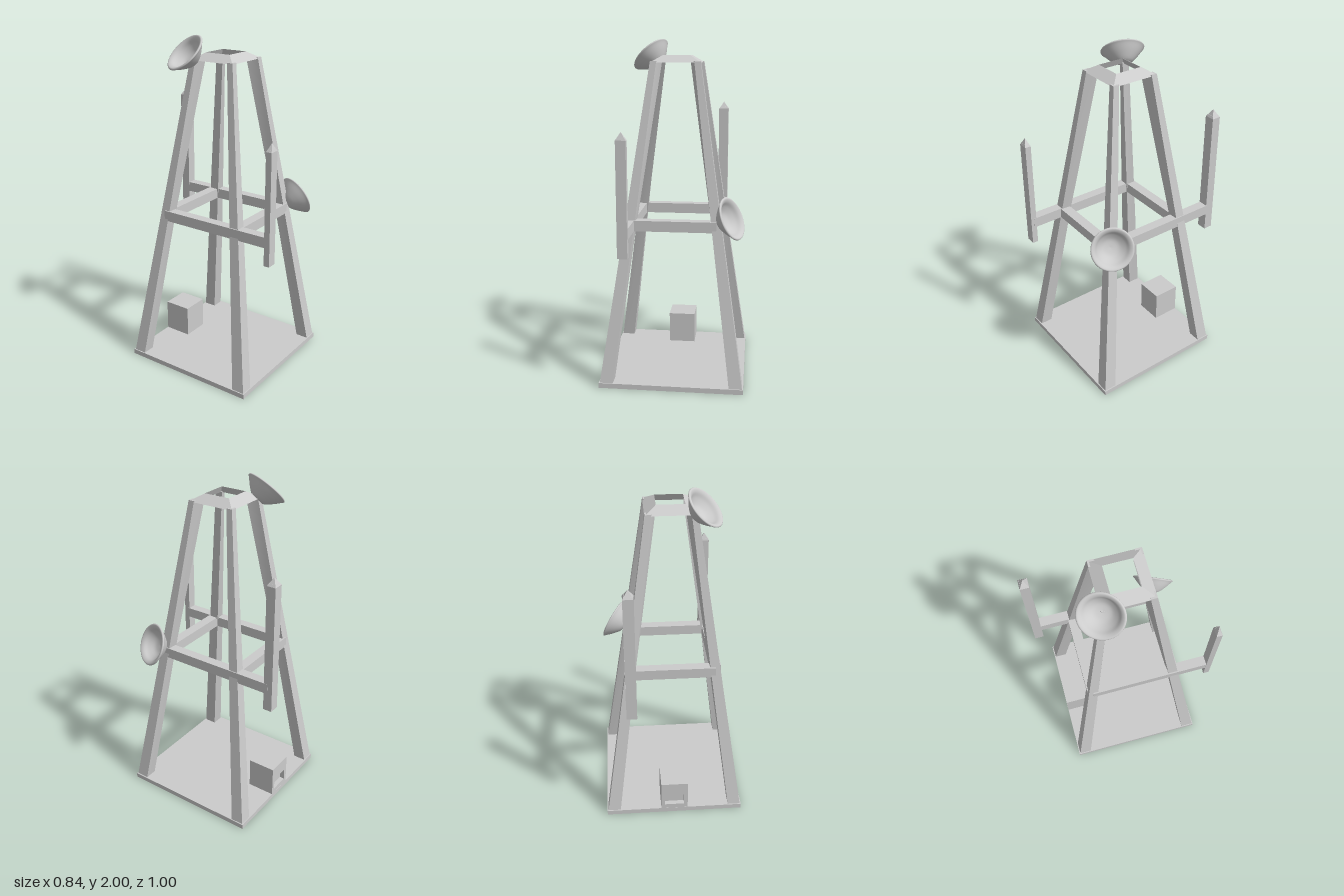
import * as THREE from 'three';

const CZ = 0.01; // the tower's axis sits slightly forward
const mat = new THREE.MeshStandardMaterial({ color: 0xcccccc });

function add(parent, name, geo, x = 0, y = 0, z = 0) {
  const mesh = new THREE.Mesh(geo, mat);
  mesh.name = name;
  mesh.position.set(x, y, z);
  parent.add(mesh);
  return mesh;
}

// Box given by its min and max corners
function block(parent, name, [x0, y0, z0], [x1, y1, z1]) {
  return add(parent, name, new THREE.BoxGeometry(x1 - x0, y1 - y0, z1 - z0),
    (x0 + x1) / 2, (y0 + y1) / 2, (z0 + z1) / 2);
}

function flat(geo) {
  const g = geo.toNonIndexed();
  g.computeVertexNormals();
  return g;
}

// Leaning, tapered leg whose inner corner grows towards the top
function legGeometry() {
  // height, outer corner, side width, inner corner depth
  const rows = [
    [0, 0.42, 0.077, 0.077],
    [0.95, 0.28, 0.058, 0.062],
    [1.875, 0.144, 0.036, 0.062],
  ];
  const geo = new THREE.BoxGeometry(1, 2, 1, 1, 2, 1);
  const p = geo.attributes.position;
  for (let i = 0; i < p.count; i++) {
    const [y, outer, w, d] = rows[Math.round(p.getY(i)) + 1];
    const inX = p.getX(i) < 0, inZ = p.getZ(i) < 0;
    const s = inX && inZ ? d : w;
    p.setXYZ(i, outer - (inX ? s : 0), y, outer - (inZ ? s : 0));
  }
  geo.computeVertexNormals();
  return geo;
}

// Thick-rimmed bowl: rim centre at the origin, opening along +y
function dishGeometry() {
  const spline = new THREE.SplineCurve([
    [0, -0.08], [0.04, -0.076], [0.083, -0.042], [0.115, -0.008], [0.126, 0.003],
    [0.118, 0.01], [0.1, 0], [0.08, -0.024], [0.045, -0.049], [0, -0.056],
  ].map(([x, y]) => new THREE.Vector2(x, y)));
  const pts = spline.getPoints(36);
  pts.forEach((p) => { p.x = Math.max(p.x, 0); });
  return new THREE.LatheGeometry(pts, 40);
}

// Square mast with chamfered shoulders and a pointed tip
function mast(parent, name, x0, x1, z0, z1, y0, tip) {
  const g = new THREE.Group();
  g.name = name;
  const w = x1 - x0, d = z1 - z0, top = tip - 0.045;
  block(g, 'mastShaft', [x0, y0, z0], [x1, top, z1]);
  const r = Math.SQRT1_2;
  const shoulder = add(g, 'mastShoulder',
    flat(new THREE.CylinderGeometry(0.75 * r, r, 0.012, 4).rotateY(Math.PI / 4)),
    (x0 + x1) / 2, top + 0.006, (z0 + z1) / 2);
  shoulder.scale.set(w, 1, d);
  const point = add(g, 'mastTip',
    flat(new THREE.ConeGeometry(0.72 * r, 0.033, 4).rotateY(Math.PI / 4)),
    (x0 + x1) / 2, tip - 0.0165, (z0 + z1) / 2);
  point.scale.set(w, 1, d);
  parent.add(g);
}

export function createModel() {
  const model = new THREE.Group();
  model.name = 'antennaTower';

  // Ground slab
  block(model, 'base', [-0.422, 0, -0.412], [0.422, 0.03, 0.432]);

  // Four legs
  const leg = legGeometry();
  for (let i = 0; i < 4; i++) {
    add(model, 'leg', leg, 0, 0, CZ).rotation.y = (i * Math.PI) / 2;
  }

  // Sloped square frame on top, open in the middle
  const profile = [[0.145, 1.868], [0.08, 1.908], [0.1, 1.868], [0.145, 1.868]]
    .map(([r, y]) => new THREE.Vector2(r * Math.SQRT2, y));
  add(model, 'topFrame', flat(new THREE.LatheGeometry(profile, 4, Math.PI / 4)), 0, 0, CZ);

  // Middle ring of beams; the side beams reach out to carry the masts
  const y0 = 0.918, y1 = 0.98;
  block(model, 'frontBeam', [-0.25, y0, 0.232], [0.25, y1, 0.293]);
  block(model, 'backBeam', [-0.25, y0, -0.273], [0.25, y1, -0.212]);
  block(model, 'leftBeam', [0.222, y0, -0.47], [0.281, y1, 0.26]);
  block(model, 'rightBeam', [-0.283, y0, -0.24], [-0.224, y1, 0.48]);

  // Antenna masts
  mast(model, 'leftMast', 0.22, 0.28, -0.5, -0.446, 0.81, 1.612);
  mast(model, 'rightMast', -0.284, -0.226, 0.465, 0.5, 0.81, 1.51);

  // Dishes: rim centre and facing direction
  const dish = dishGeometry();
  const up = new THREE.Vector3(0, 1, 0);
  for (const [name, pos, dir] of [
    ['upperDish', [-0.178, 1.91, -0.142], [-0.64, 0.7, -0.3]],
    ['lowerDish', [0.335, 1.008, 0.306], [0.84, 0.4, 0.36]],
  ]) {
    const mesh = add(model, name, dish, ...pos);
    mesh.quaternion.setFromUnitVectors(up, new THREE.Vector3(...dir).normalize());
  }

  // Equipment cabinet with a shallow opening in its back face
  const cabinet = new THREE.Group();
  cabinet.name = 'cabinet';
  const face = new THREE.Shape([[-0.083, 0.02], [0.083, 0.02], [0.083, 0.223], [-0.083, 0.223]]
    .map(([x, y]) => new THREE.Vector2(x, y)));
  face.holes.push(new THREE.Path([[-0.06, 0.06], [-0.06, 0.135], [0.06, 0.135], [0.06, 0.06]]
    .map(([x, y]) => new THREE.Vector2(x, y))));
  add(cabinet, 'cabinetBack',
    new THREE.ExtrudeGeometry(face, { depth: 0.03, bevelEnabled: false }), 0, 0, -0.411);
  block(cabinet, 'cabinetBody', [-0.083, 0.02, -0.381], [0.083, 0.223, -0.24]);
  model.add(cabinet);

  return model;
}
